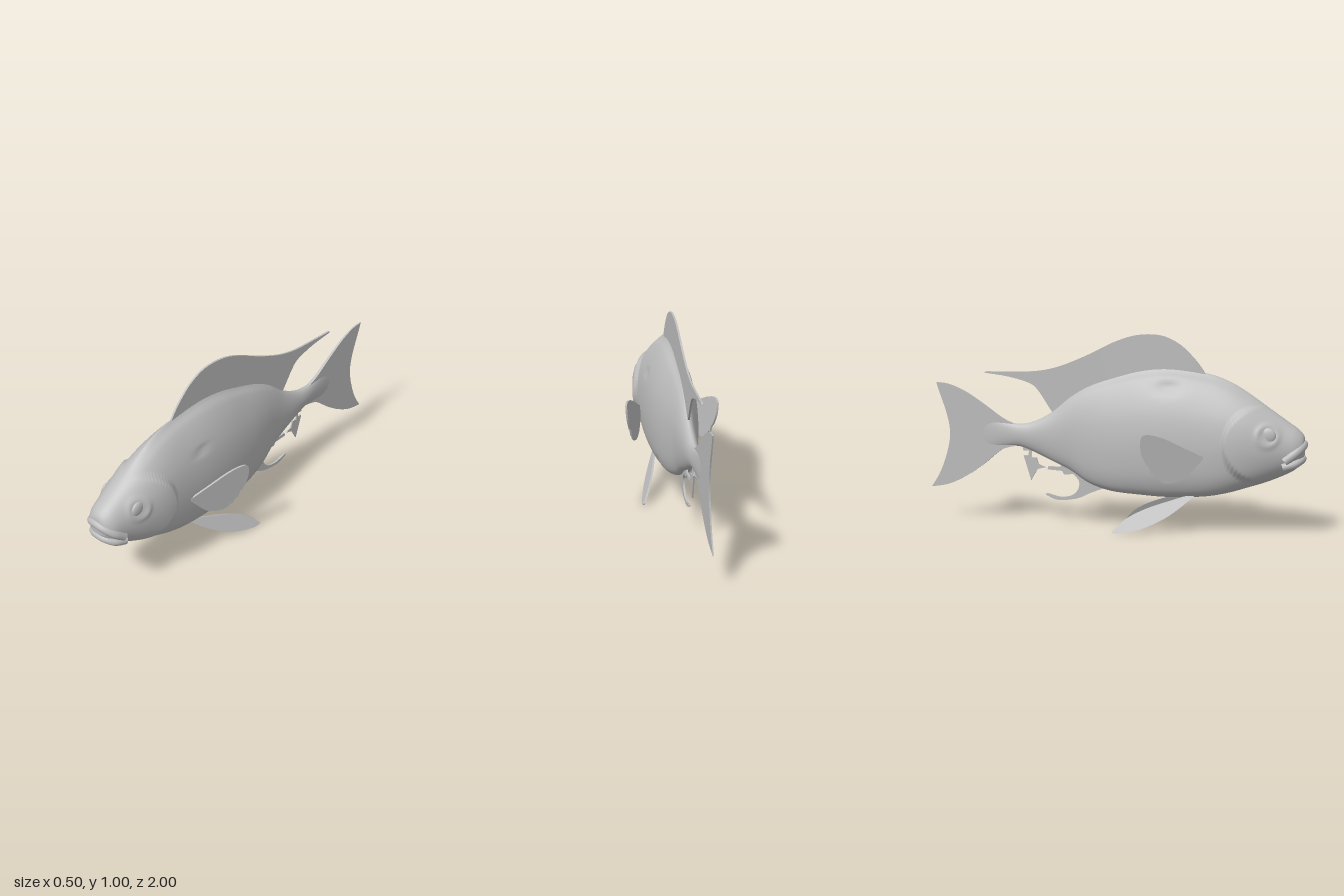
import * as THREE from 'three';

const grey = new THREE.MeshStandardMaterial({ color: 0xbdbdbd });
grey.name = 'plain grey';

const V = (x, y, z) => new THREE.Vector3(x, y, z);
const smooth = THREE.MathUtils.smoothstep;

// Body stations: z, top, bottom, half width, roundness (1 = ellipse, 0 = teardrop)
const stations = [
  [0.985, 0.46, 0.44, 0.0, 1], [0.98, 0.505, 0.39, 0.05, 1], [0.95, 0.54, 0.345, 0.082, 1],
  [0.9, 0.575, 0.312, 0.1, 1], [0.8, 0.645, 0.268, 0.122, 0.8], [0.7, 0.715, 0.235, 0.133, 0.5],
  [0.6, 0.772, 0.206, 0.138, 0.2], [0.48, 0.81, 0.185, 0.138, 0], [0.3, 0.832, 0.175, 0.136, 0],
  [0.15, 0.82, 0.18, 0.126, 0], [0, 0.78, 0.192, 0.106, 0], [-0.12, 0.735, 0.225, 0.082, 0.2],
  [-0.22, 0.675, 0.285, 0.06, 0.5], [-0.32, 0.592, 0.33, 0.046, 0.8], [-0.42, 0.538, 0.375, 0.036, 1],
  [-0.5, 0.522, 0.402, 0.028, 1], [-0.58, 0.53, 0.4, 0.019, 1], [-0.68, 0.54, 0.39, 0.009, 1],
  [-0.76, 0.5, 0.43, 0.002, 1],
];
const outline = new THREE.CatmullRomCurve3(stations.map(s => V(s[0], s[1], s[2])), false, 'catmullrom');
const girth = new THREE.CatmullRomCurve3(stations.map(s => V(s[3], s[4], 0)), false, 'catmullrom');

// Half of the teardrop section: x factor, height factor, from back to belly
const section = new THREE.CatmullRomCurve3([
  [0, 1], [0.1, 0.97], [0.34, 0.915], [0.66, 0.785], [0.88, 0.64], [0.98, 0.5], [1, 0.36],
  [0.92, 0.18], [0.72, 0.06], [0.42, 0.005], [0, 0],
].map(p => V(p[0], p[1], 0)));

// Small hollows in the flanks: side, z, y, z radius, y radius, depth
const hollows = [[1, 0.38, 0.625, 0.05, 0.012, 0.012], [1, 0.09, 0.23, 0.03, 0.015, 0.012],
  [-1, 0.3, 0.74, 0.07, 0.03, 0.02]];

function sculpt(x, y, z, rel) {
  const side = Math.sign(x);
  let out = 0;
  // gill cover flaring towards its rear edge
  const d = Math.hypot((z - 0.78) / 0.19, (y - 0.465) / 0.19);
  out += 0.022 * (1 - smooth(d, 0.95, 1.04)) * (1 - smooth(z, 0.62, 0.9));
  // eye socket ring
  const e = Math.hypot(z - 0.81, y - 0.515);
  out += 0.006 * Math.exp(-(((e - 0.05) / 0.014) ** 2));
  for (const [s, hz, hy, rz, ry, depth] of hollows) {
    if (s === side) out -= depth * Math.exp(-(((z - hz) / rz) ** 2) - ((y - hy) / ry) ** 2);
  }
  return x + side * out * Math.min(1, rel * 1.5);
}

function bodyGeometry(rows = 260, cols = 88) {
  const pos = [], index = [];
  const half = section.getPoints(cols / 2);
  for (let i = 0; i <= rows; i++) {
    const o = outline.getPoint(i / rows), g = girth.getPoint(i / rows);
    for (let j = 0; j < cols; j++) {
      const left = j <= cols / 2, m = left ? j : cols - j;
      const a = (m / (cols / 2)) * Math.PI;
      const rel = THREE.MathUtils.lerp(half[m].x, Math.sin(a), g.y);
      const h = THREE.MathUtils.lerp(half[m].y, (1 + Math.cos(a)) / 2, g.y);
      const y = o.z + (o.y - o.z) * h;
      pos.push(sculpt((left ? 1 : -1) * rel * Math.max(g.x, 0), y, o.x, rel), y, o.x);
      if (i < rows) {
        const p = i * cols + j, q = i * cols + (j + 1) % cols;
        index.push(p, q, p + cols, q, q + cols, p + cols);
      }
    }
  }
  const geo = new THREE.BufferGeometry();
  geo.setAttribute('position', new THREE.Float32BufferAttribute(pos, 3));
  geo.setIndex(index);
  geo.computeVertexNormals();
  return geo;
}

// Thin fin from smooth edge runs of [z, y] points; corners stay sharp between runs
function fin(name, runs, depth, warp = x => x) {
  const shape = new THREE.Shape();
  const [start, ...rest] = runs[0];
  shape.moveTo(...start);
  for (const run of [rest, ...runs.slice(1)]) {
    if (run.length > 1) shape.splineThru(run.map(p => new THREE.Vector2(...p)));
    else if (run.length === 1) shape.lineTo(...run[0]);
  }
  const geo = new THREE.ExtrudeGeometry(shape, { depth, bevelEnabled: false, curveSegments: 24 });
  geo.translate(0, 0, -depth / 2).rotateY(-Math.PI / 2);
  const p = geo.attributes.position;
  for (let i = 0; i < p.count; i++) p.setX(i, warp(p.getX(i), p.getY(i), p.getZ(i)));
  geo.computeVertexNormals();
  return part(name, geo);
}

function part(name, geo) {
  const mesh = new THREE.Mesh(geo, grey);
  mesh.name = name;
  return mesh;
}

// Lip: a tube swept round the snout, from corner to corner
function lip(name, pts, radius) {
  const path = [...pts.map(p => V(-p[0], p[1], p[2])), ...pts.slice(0, -1).reverse().map(p => V(...p))];
  const geo = new THREE.TubeGeometry(new THREE.CatmullRomCurve3(path), 48, radius, 14);
  return part(name, geo);
}

export function createModel() {
  const fish = new THREE.Group();
  fish.name = 'fish';
  fish.add(part('body', bodyGeometry()));

  // Mouth
  fish.add(lip('upperLip', [[0.088, 0.385, 0.89], [0.075, 0.425, 0.94], [0.042, 0.452, 0.968], [0, 0.462, 0.976]], 0.024));
  fish.add(lip('lowerLip', [[0.088, 0.355, 0.88], [0.074, 0.37, 0.935], [0.042, 0.385, 0.964], [0, 0.39, 0.972]], 0.021));

  // Back fin with its long trailing point
  fish.add(fin('dorsalFin', [
    [[0.48, 0.805], [0.46, 0.835], [0.42, 0.885], [0.35, 0.95], [0.27, 0.99], [0.19, 1.0], [0.1, 0.99], [0, 0.955],
      [-0.1, 0.905], [-0.2, 0.86], [-0.3, 0.823], [-0.4, 0.802], [-0.5, 0.796], [-0.68, 0.793]],
    [[-0.685, 0.786], [-0.58, 0.772], [-0.5, 0.755], [-0.43, 0.73], [-0.39, 0.69], [-0.35, 0.63], [-0.32, 0.585]],
    [[-0.2, 0.6]], [[0, 0.7]], [[0.3, 0.76]],
  ], 0.01));

  // Forked tail, thinning towards the rear
  fish.add(fin('tailFin', [
    [[-0.52, 0.515], [-0.6, 0.552], [-0.7, 0.622], [-0.8, 0.685], [-0.89, 0.722], [-0.96, 0.73]],
    [[-0.94, 0.67], [-0.9, 0.55], [-0.887, 0.45], [-0.91, 0.34], [-0.95, 0.24], [-0.997, 0.167]],
    [[-0.9, 0.185], [-0.8, 0.232], [-0.7, 0.3], [-0.6, 0.38], [-0.52, 0.405]],
  ], 0.02, (x, y, z) => x * THREE.MathUtils.mapLinear(z, -0.5, -1, 1, 0.25)));

  // Ragged fin under the rear body
  fish.add(fin('analFin', [
    [[-0.04, 0.2], [-0.12, 0.168], [-0.18, 0.14], [-0.26, 0.125], [-0.31, 0.128], [-0.36, 0.15]],
    [[-0.35, 0.157], [-0.28, 0.142], [-0.22, 0.152], [-0.185, 0.185], [-0.18, 0.23], [-0.21, 0.265]],
    [[-0.26, 0.262]], [[-0.27, 0.28]], [[-0.35, 0.285]], [[-0.345, 0.302]], [[-0.28, 0.3]], [[-0.26, 0.34]], [[-0.12, 0.3]],
  ], 0.01));
  fish.add(fin('analFinTip', [
    [[-0.49, 0.42]], [[-0.48, 0.38]], [[-0.45, 0.38]], [[-0.455, 0.355]], [[-0.48, 0.355]], [[-0.44, 0.225]],
    [[-0.405, 0.285]], [[-0.36, 0.295]], [[-0.4, 0.312]], [[-0.41, 0.345]], [[-0.44, 0.345]], [[-0.44, 0.37]], [[-0.43, 0.42]],
  ], 0.008));

  // Paired parts
  for (const side of [1, -1]) {
    const word = side > 0 ? 'left' : 'right';
    const eye = part(word + 'Eye', new THREE.SphereGeometry(0.04, 28, 18));
    eye.scale.x = 0.4;
    eye.position.set(side * 0.108, 0.515, 0.81);
    fish.add(eye);

    fish.add(fin(word + 'PectoralFin', [
      [[0.5, 0.4], [0.4, 0.452], [0.3, 0.503], [0.23, 0.52], [0.2, 0.5], [0.2, 0.43], [0.225, 0.365]],
      [[0.235, 0.36]], [[0.245, 0.322]], [[0.258, 0.322]], [[0.272, 0.29]], [[0.285, 0.293]],
      [[0.3, 0.275], [0.34, 0.27], [0.4, 0.29], [0.45, 0.34]],
    ], 0.01, (x, y, z) => x + side * (0.13 + 0.36 * (0.5 - z) + 0.08 * (y - 0.4))));

    fish.add(fin(word + 'PelvicFin', [
      [[0.45, 0.205], [0.34, 0.17], [0.2, 0.122], [0.1, 0.07], [0.04, 0.012]],
      [[0.045, 0.002], [0.1, 0.005], [0.2, 0.032], [0.3, 0.08], [0.38, 0.138], [0.45, 0.2]],
    ], 0.01, (x, y, z) => x + side * (0.07 + 0.5 * (0.19 - y) + 0.06 * (0.3 - z))));
  }
  return fish;
}
